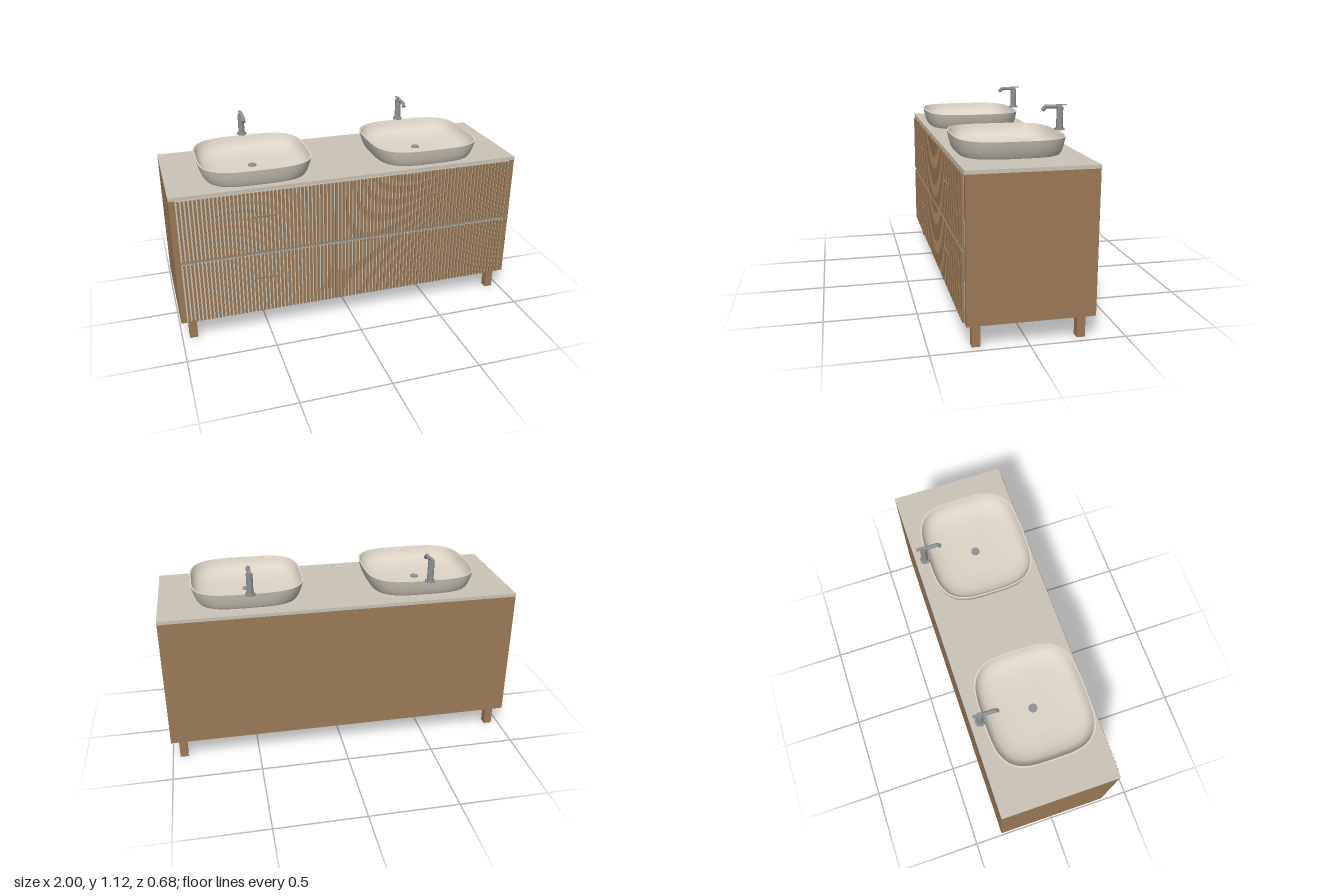
import * as THREE from 'three';
import { mergeGeometries } from 'three/addons/utils/BufferGeometryUtils.js';

const material = (name, color, side = THREE.FrontSide) => {
  const m = new THREE.MeshStandardMaterial({ color, side });
  m.name = name;
  return m;
};

// Box given by its limits on each axis
function boxGeometry(x0, x1, y0, y1, z0, z1) {
  return new THREE.BoxGeometry(x1 - x0, y1 - y0, z1 - z0)
    .translate((x0 + x1) / 2, (y0 + y1) / 2, (z0 + z1) / 2);
}

// Smooth surface through rounded-square rings [half width, half depth, height], ordered outside-up then inward
function ringSurface(rings, power = 3.5, segments = 72) {
  const positions = [], index = [];
  for (const [a, b, y] of rings) {
    for (let j = 0; j < segments; j++) {
      const t = (j / segments) * Math.PI * 2;
      const c = Math.cos(t), s = Math.sin(t);
      const r = (Math.abs(c) ** power + Math.abs(s) ** power) ** (-1 / power);
      positions.push(a * r * c, y, b * r * s);
    }
  }
  for (let i = 0; i < rings.length - 1; i++) {
    for (let j = 0; j < segments; j++) {
      const k = (j + 1) % segments;
      const p = i * segments + j, q = i * segments + k;
      index.push(p, p + segments, q, q, p + segments, q + segments);
    }
  }
  const g = new THREE.BufferGeometry();
  g.setAttribute('position', new THREE.Float32BufferAttribute(positions, 3));
  g.setIndex(index);
  g.computeVertexNormals();
  return g;
}

export function createModel() {
  const wood = material('wood', 0x9c7a58);
  const stone = material('stone', 0xc9c4b6);
  const ceramic = material('ceramic', 0xddd4c6, THREE.DoubleSide);
  const glazedOutside = material('glazedOutside', 0xc9c3b6, THREE.DoubleSide);
  const metal = material('metal', 0x8e9193);

  const model = new THREE.Group();
  model.name = 'doubleVanity';
  const add = (parent, name, geometry, mat) => {
    const mesh = new THREE.Mesh(geometry, mat);
    mesh.name = name;
    parent.add(mesh);
    return mesh;
  };

  // Carcass, open underneath
  add(model, 'countertop', boxGeometry(-1, 1, 0.876, 0.895, -0.336, 0.324), stone);
  add(model, 'backPanel', boxGeometry(-1, 1, 0.128, 0.876, -0.336, -0.33), wood);
  add(model, 'leftSide', boxGeometry(0.967, 1, 0.128, 0.876, -0.33, 0.32), wood);
  add(model, 'rightSide', boxGeometry(-1, -0.967, 0.128, 0.876, -0.33, 0.32), wood);

  // Square legs
  for (const x of [-0.935, 0.935]) {
    for (const z of [-0.275, 0.264]) {
      add(model, 'leg', boxGeometry(x - 0.023, x + 0.023, 0, 0.128, z - 0.022, z + 0.022), wood);
    }
  }

  // Drawer fronts: plain backing with vertical slats, and a metal strip in the gap
  const slatCount = 90, pitch = 1.926 / slatCount;
  for (const [y0, y1, handleY] of [[0.134, 0.495, 0.352], [0.513, 0.871, 0.731]]) {
    const front = new THREE.Group();
    front.name = 'drawerFront';
    model.add(front);
    add(front, 'backing', boxGeometry(-0.967, 0.967, y0, y1, 0.313, 0.321), stone);
    const slats = [];
    for (let i = 0; i < slatCount; i++) {
      const x = (i - (slatCount - 1) / 2) * pitch;
      slats.push(boxGeometry(x - 0.0062, x + 0.0062, y0, y1, 0.321, 0.332));
    }
    add(front, 'slats', mergeGeometries(slats), wood);
    for (const x of [-0.5, 0.5]) {
      add(front, 'handle', boxGeometry(x - 0.07, x + 0.07, handleY - 0.004, handleY + 0.004, 0.331, 0.339), wood);
    }
  }
  add(model, 'gapStrip', boxGeometry(-0.967, 0.967, 0.495, 0.513, 0.311, 0.319), metal);

  // Basins and taps
  for (const x of [-0.5, 0.5]) {
    const basin = new THREE.Group();
    basin.name = 'basin';
    basin.position.set(x, 0, 0.017);
    model.add(basin);
    add(basin, 'basinOutside', ringSurface([
      [0.284, 0.266, 0.895], [0.293, 0.274, 0.909], [0.304, 0.281, 0.935],
      [0.312, 0.286, 0.962], [0.317, 0.289, 0.986],
    ]), glazedOutside);
    add(basin, 'basinRim', ringSurface([[0.317, 0.289, 0.986], [0.309, 0.281, 0.986]]), ceramic);
    add(basin, 'basinBowl', ringSurface([
      [0.309, 0.281, 0.986], [0.302, 0.274, 0.963], [0.29, 0.262, 0.94],
      [0.27, 0.242, 0.923], [0.235, 0.208, 0.911], [0.19, 0.165, 0.905], [0.135, 0.11, 0.902],
    ]), ceramic);
    add(basin, 'basinFloor', ringSurface([[0.135, 0.11, 0.902], [0, 0, 0.901]]), ceramic);
    add(basin, 'drain', new THREE.CylinderGeometry(0.024, 0.024, 0.006, 32).translate(0, 0.904, -0.004), metal);

    const tap = new THREE.Group();
    tap.name = 'tap';
    tap.position.set(x, 0, -0.285);
    model.add(tap);
    add(tap, 'tapBase', new THREE.CylinderGeometry(0.028, 0.028, 0.009, 32).translate(0, 0.992, 0), metal);
    add(tap, 'tapColumn', new THREE.CylinderGeometry(0.018, 0.018, 0.115, 32).translate(0, 1.053, 0), metal);
    add(tap, 'spoutArm', new THREE.CylinderGeometry(0.011, 0.011, 0.075, 24)
      .rotateX(Math.PI / 2).translate(0, 1.112, 0.0425), metal);
    add(tap, 'spoutJoint', new THREE.SphereGeometry(0.011, 24, 16).translate(0, 1.112, 0.08), metal);
    add(tap, 'spoutTip', new THREE.CylinderGeometry(0.011, 0.011, 0.026, 24)
      .translate(0, -0.013, 0).rotateX(-Math.PI / 4).translate(0, 1.112, 0.08), metal);
    add(tap, 'lever', boxGeometry(-0.009, 0.009, 1.118, 1.123, -0.036, 0.02), metal);
    add(tap, 'leverStem', new THREE.CylinderGeometry(0.01, 0.01, 0.012, 24).translate(0, 1.114, 0), metal);
  }

  return model;
}
